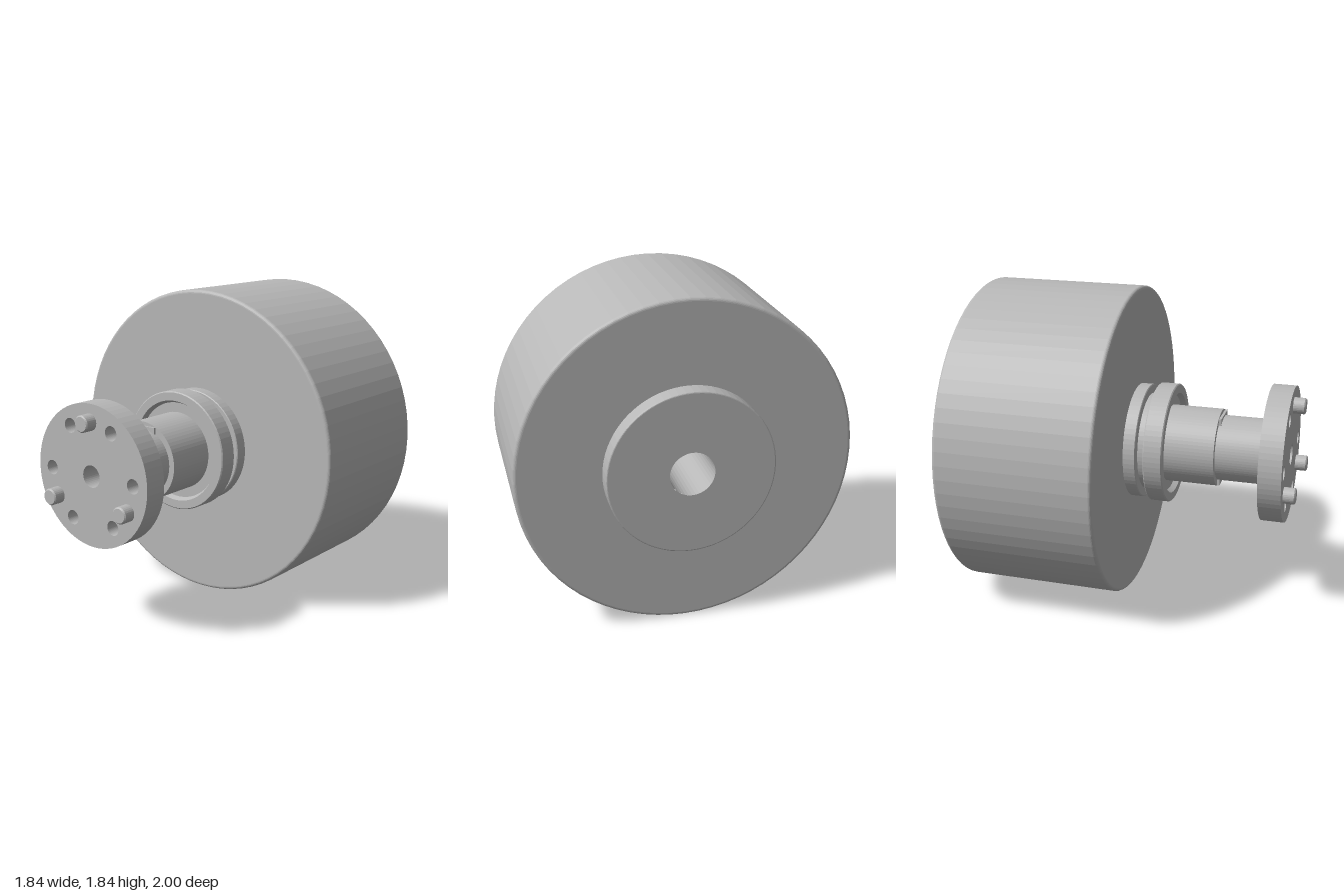
import * as THREE from 'three';

const AXIS_Y = 0.92;

export function createModel() {
  const model = new THREE.Group();
  const steel = new THREE.MeshStandardMaterial({ color: 0xb8b8b8, flatShading: true });
  steel.name = 'grey steel';

  const add = (name, geometry) => {
    const mesh = new THREE.Mesh(geometry, steel);
    mesh.name = name;
    model.add(mesh);
    return mesh;
  };
  // Turned part: profile of [radius, z], listed back to front on the outside
  const turn = (name, profile, sides = 72) => add(name,
    new THREE.LatheGeometry(profile.map(([r, z]) => new THREE.Vector2(r, z)), sides).rotateX(Math.PI / 2));
  // Rounded corner as profile points, centred on (r, z)
  const arc = (r, z, radius, from, to, steps = 5) => Array.from({ length: steps + 1 }, (_, i) => {
    const a = from + (to - from) * i / steps;
    return [r + radius * Math.cos(a), z + radius * Math.sin(a)];
  });
  const H = Math.PI / 2;

  // Large drum with softly rounded rims
  turn('drum', [[0.3, -0.907],
    ...arc(0.9, -0.887, 0.02, -H, 0), ...arc(0.9, -0.012, 0.02, 0, H), [0.15, 0.008]]);
  turn('rearCap', [[0.122, -1], ...arc(0.449, -0.992, 0.008, -H, 0, 3), [0.457, -0.9]]);

  // Stepped collar with a groove and a recessed front face
  turn('collar', [[0.34, 0], [0.34, 0.076], [0.335, 0.08], [0.287, 0.08], [0.287, 0.128],
    [0.348, 0.128], [0.354, 0.134], [0.354, 0.234], [0.348, 0.24],
    [0.3, 0.24], [0.285, 0.21], [0.2, 0.21]]);

  // Shaft sleeve, and neck flaring into the flange
  turn('sleeve', [[0.228, 0.2], [0.228, 0.515], [0.18, 0.515]]);
  turn('neck', [[0.193, 0.5], ...arc(0.223, 0.768, 0.03, Math.PI, H)]);
  for (const side of [1, -1]) {
    add('key', new THREE.BoxGeometry(0.19, 0.04, 0.23)).position.set(0, side * 0.186, 0.415);
  }

  // Stepped through bore, wide at the back
  turn('bore', [[0.062, 0.93], [0.062, -0.02], [0.122, -0.02], [0.122, -1]], 40);

  // Flange with six bolt holes
  const disc = new THREE.Shape().absarc(0, 0, 0.4, 0, Math.PI * 2);
  const hole = (x, y, r) => disc.holes.push(new THREE.Path().absarc(x, y, r, 0, Math.PI * 2, true));
  hole(0, 0, 0.062);
  for (let i = 0; i < 6; i++) {
    const a = i * Math.PI / 3;
    hole(0.3 * Math.cos(a), 0.3 * Math.sin(a), 0.041);
  }
  add('flange', new THREE.ExtrudeGeometry(disc,
    { depth: 0.133, bevelEnabled: false, curveSegments: 36 })).position.z = 0.797;

  // Three drive pins with chamfered tips
  for (const degrees of [90, 210, 330]) {
    const a = THREE.MathUtils.degToRad(degrees);
    turn('drivePin', [[0.047, 0.92], [0.047, 0.993], [0.04, 1], [0, 1]], 28)
      .position.set(0.3 * Math.cos(a), 0.3 * Math.sin(a), 0);
  }

  for (const part of model.children) part.position.y += AXIS_Y;
  return model;
}
